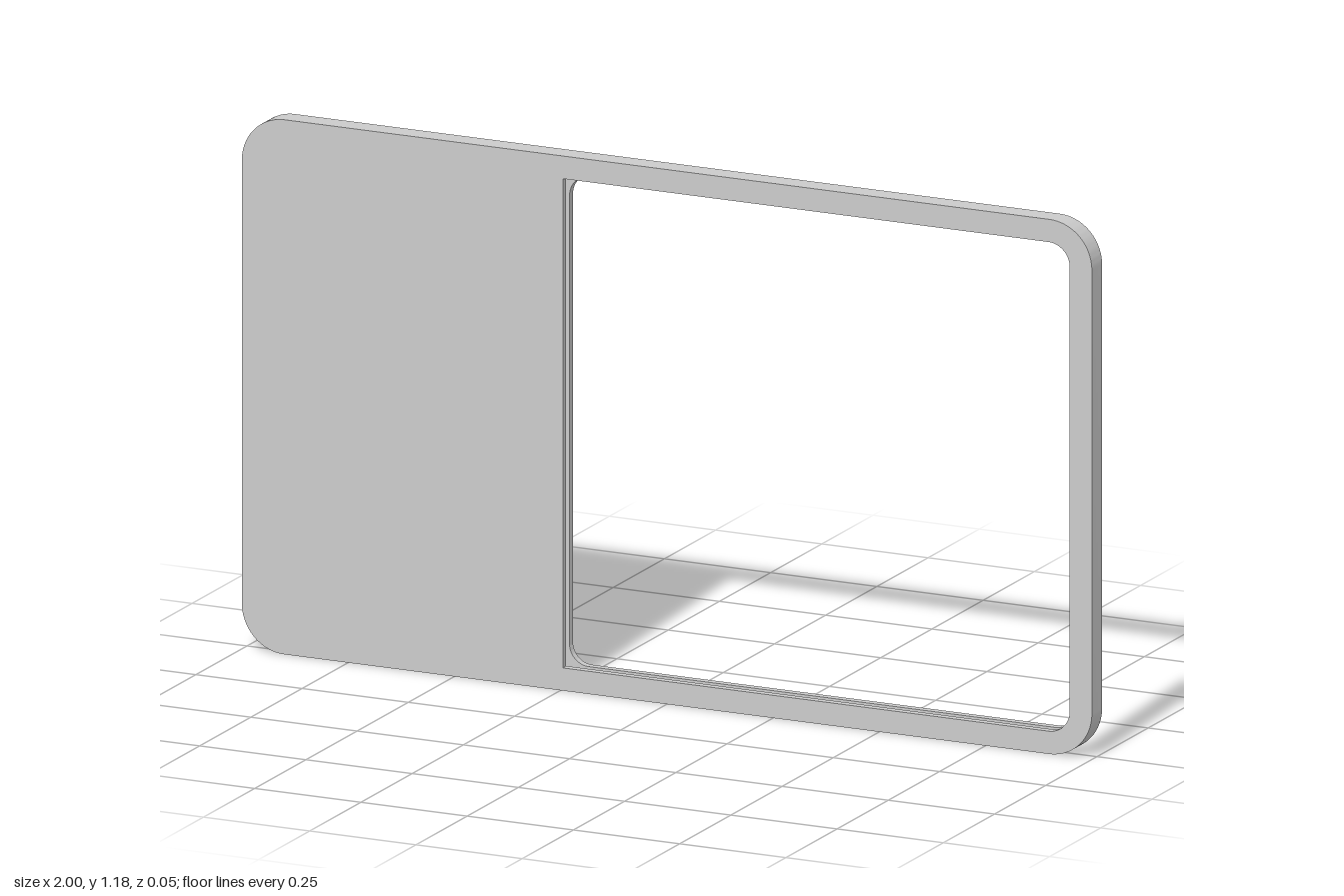
import * as THREE from 'three';
import { toCreasedNormals } from 'three/addons/utils/BufferGeometryUtils.js';

const HEIGHT = 1.177, DEPTH = 0.05;

// Rectangle with separate corner radii for its left and right sides
function roundedRect(path, x0, y0, x1, y1, rLeft, rRight) {
  path.moveTo(x0 + rLeft, y0);
  path.lineTo(x1 - rRight, y0);
  if (rRight) path.absarc(x1 - rRight, y0 + rRight, rRight, -Math.PI / 2, 0);
  path.lineTo(x1, y1 - rRight);
  if (rRight) path.absarc(x1 - rRight, y1 - rRight, rRight, 0, Math.PI / 2);
  path.lineTo(x0 + rLeft, y1);
  if (rLeft) path.absarc(x0 + rLeft, y1 - rLeft, rLeft, Math.PI / 2, Math.PI);
  path.lineTo(x0, y0 + rLeft);
  if (rLeft) path.absarc(x0 + rLeft, y0 + rLeft, rLeft, Math.PI, Math.PI * 1.5);
  return path;
}

export function createModel() {
  const group = new THREE.Group();
  group.name = 'windowPanel';
  const material = new THREE.MeshStandardMaterial({ color: 0xcccccc });

  // One layer of the panel; grow widens the opening, rLeft rounds its left corners
  function addLayer(name, z0, z1, grow, rLeft) {
    const shape = roundedRect(new THREE.Shape(), -1, 0, 1, HEIGHT, 0.1, 0.1);
    shape.holes.push(roundedRect(new THREE.Path(),
      -0.245 - grow, 0.05 - grow, 0.948 + grow, HEIGHT - 0.05 + grow, rLeft, 0.05 + grow));
    const geometry = new THREE.ExtrudeGeometry(shape, {
      depth: z1 - z0, bevelEnabled: false, curveSegments: 12,
    });
    geometry.translate(0, 0, z0);
    const mesh = new THREE.Mesh(toCreasedNormals(geometry, 0.6), material);
    mesh.name = name;
    group.add(mesh);
  }

  const h = DEPTH / 2;
  addLayer('frontPlate', 0.008, h, 0, 0);          // square left corners
  addLayer('grooveLayer', -0.008, 0.008, 0.008, 0); // shallow groove around the opening
  addLayer('backPlate', -h, -0.008, 0, 0.045);      // all corners rounded
  return group;
}
